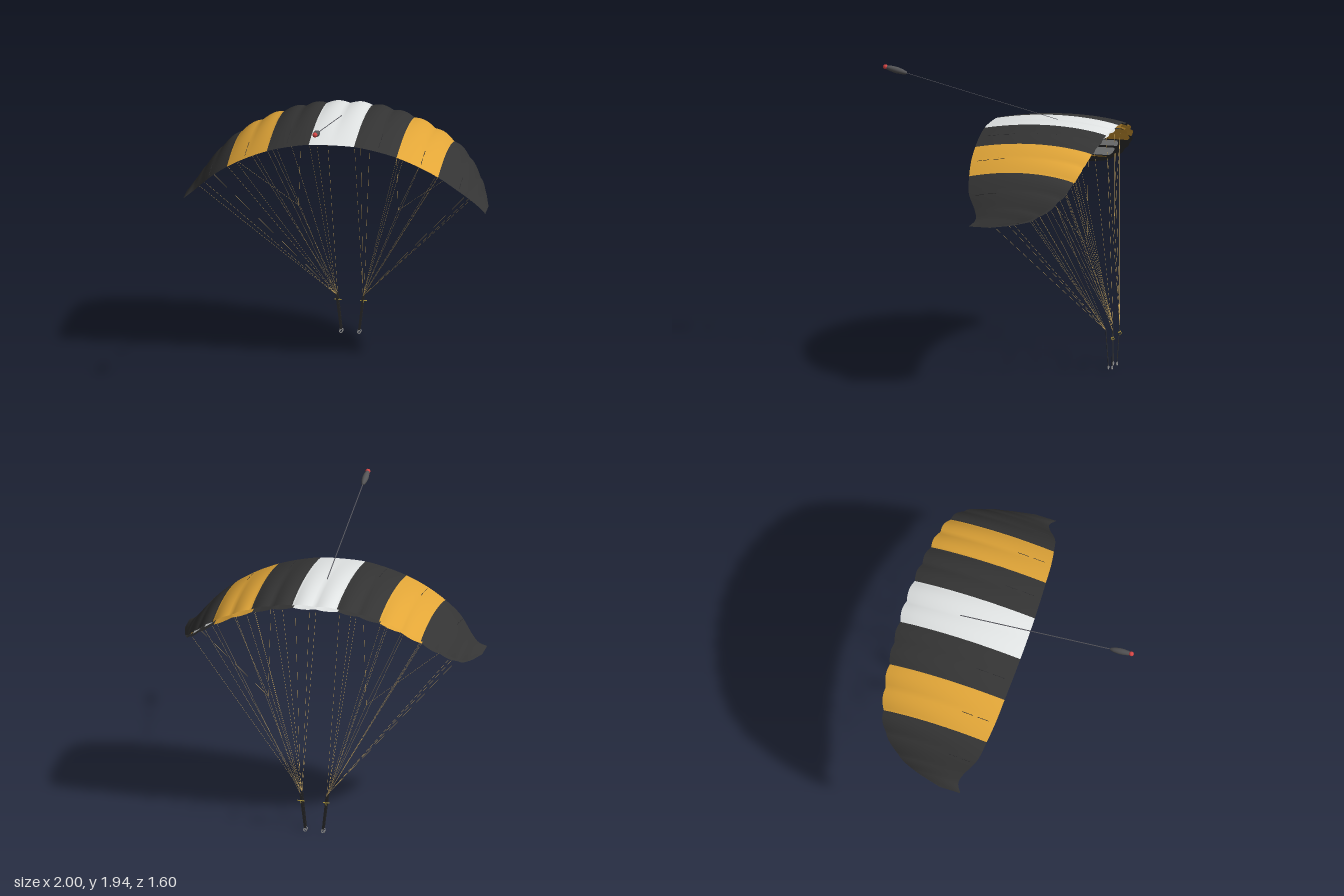
import * as THREE from 'three';

const mat = (name, color, side = THREE.FrontSide) => {
  const m = new THREE.MeshStandardMaterial({ color, side });
  m.name = name;
  return m;
};

// Half-span stations at the ribs: x, edge height, trailing z, leading z, camber
const STATIONS = [
  [0, 1.6, 0.07, -0.765, 0.043], [0.15, 1.595, 0.068, -0.76, 0.043],
  [0.29, 1.57, 0.062, -0.753, 0.043], [0.43, 1.53, 0.052, -0.74, 0.042],
  [0.57, 1.47, 0.04, -0.722, 0.042], [0.7, 1.395, 0.018, -0.693, 0.042],
  [0.81, 1.31, -0.01, -0.64, 0.038], [0.9, 1.215, -0.077, -0.525, 0.03],
  [0.95, 1.165, -0.095, -0.41, 0.018], [1, 1.13, -0.065, -0.21, 0],
];
const N = STATIONS.length - 1;
const SPAN = [...STATIONS.slice(1).reverse().map(([x, ...r]) => [-x, ...r]), ...STATIONS];
const edgeCurve = new THREE.CatmullRomCurve3(
  SPAN.map(([x, y, zT]) => new THREE.Vector3(x, y, zT)), false, 'catmullrom');
const chordCurve = new THREE.CatmullRomCurve3(
  SPAN.map(([, , , zL, h]) => new THREE.Vector3(zL, h, 0)), false, 'catmullrom');

// Point on the canopy: s = station (-N..N), t = 0 trailing edge .. 1 leading edge
function canopyPoint(s, t, upper) {
  const u = (s + N) / (2 * N);
  const e = edgeCurve.getPoint(u), c = chordCurve.getPoint(u);
  const taper = Math.min(1, (N - Math.abs(s)) / 3);
  const puff = Math.abs(Math.sin(Math.PI * s)) * taper;
  const zL = c.x - puff * 0.012 + (upper ? 0 : 0.025 * taper);
  const z = e.z + (zL - e.z) * t;
  const y = upper
    ? e.y + c.y * 4 * t * (1 - t) ** 0.9 * 0.97 + puff * 0.012 * t
    : e.y - 0.027 * taper * Math.sin(Math.min(1, t * 1.3) * Math.PI / 2) - puff * 0.004 * t;
  return new THREE.Vector3(e.x, y, z);
}

// One skin of the canopy; quads are sorted into a material group per colour
function skin(upper, colourAt, colourCount) {
  const PER = 8, ROWS = 18, cols = 2 * N * PER;
  const pos = [], buckets = Array.from({ length: colourCount }, () => []);
  for (let i = 0; i <= cols; i++)
    for (let j = 0; j <= ROWS; j++) pos.push(...canopyPoint(i / PER - N, j / ROWS, upper).toArray());
  for (let i = 0; i < cols; i++)
    for (let j = 0; j < ROWS; j++) {
      const a = i * (ROWS + 1) + j, b = a + ROWS + 1, c = b + 1, d = a + 1;
      const list = buckets[colourAt(Math.abs((i + 0.5) / PER - N), (j + 0.5) / ROWS)];
      list.push(...(upper ? [a, b, c, a, c, d] : [a, c, b, a, d, c]));
    }
  const g = new THREE.BufferGeometry();
  g.setAttribute('position', new THREE.Float32BufferAttribute(pos, 3));
  g.setIndex(buckets.flat());
  let start = 0;
  buckets.forEach((list, k) => {
    g.addGroup(start, list.length, k);
    start += list.length;
  });
  g.computeVertexNormals();
  return g;
}

// Internal rib between the two skins
function rib(s) {
  const pos = [], idx = [], n = 12;
  for (let j = 0; j <= n; j++) {
    const t = (j / n) * 0.96;
    pos.push(...canopyPoint(s, t, true).toArray(), ...canopyPoint(s, t, false).toArray());
    if (j < n) idx.push(2 * j, 2 * j + 1, 2 * j + 3, 2 * j, 2 * j + 3, 2 * j + 2);
  }
  const g = new THREE.BufferGeometry();
  g.setAttribute('position', new THREE.Float32BufferAttribute(pos, 3));
  g.setIndex(idx);
  g.computeVertexNormals();
  return g;
}

export function createModel() {
  const root = new THREE.Group();
  root.name = 'parafoil';
  const black = mat('black fabric', 0x343434, THREE.DoubleSide);
  const gold = mat('gold fabric', 0xe2a638, THREE.DoubleSide);
  const light = mat('light grey fabric', 0xe3e6e6, THREE.DoubleSide);
  const cord = mat('tan cord', 0xcdaa62);
  const strap = mat('strap', 0x2c2c2e);
  const metal = mat('metal', 0x9a9a9a);
  const toggleMat = mat('olive toggle', 0xb8a040);
  const podMat = mat('pilot grey', 0x545456);
  const red = mat('red cap', 0xd84646);
  const bridleMat = mat('bridle', 0x55555c);

  const add = (name, geo, material, parent = root) => {
    const m = new THREE.Mesh(geo, material);
    m.name = name;
    parent.add(m);
    return m;
  };
  const V = (x, y, z) => new THREE.Vector3(x, y, z);
  // Place a mesh built along y so that it spans two points
  const span = (m, a, b) => {
    m.position.lerpVectors(a, b, 0.5);
    m.quaternion.setFromUnitVectors(V(0, 1, 0), b.clone().sub(a).normalize());
  };
  const line = (name, a, b, parent) =>
    span(add(name, new THREE.CylinderGeometry(0.0008, 0.0008, a.distanceTo(b), 5), cord, parent), a, b);
  const webbing = (name, a, b, w, d, material, parent) =>
    span(add(name, new THREE.BoxGeometry(w, a.distanceTo(b), d), material, parent), a, b);

  // Canopy skins with striped cells, open along the leading edge
  const stripe = (s) => (s < 1 ? 2 : s > 3 && s < 5 ? 1 : 0);
  const tipBands = (s, t) => {
    if (t > 0.06 && t < 0.9) {
      if ((s > 5.12 && s < 5.75) || (s > 6 && s < 6.75)) return 2;
      if (s > 6.85 && s < 7) return 1;
    }
    return stripe(s);
  };
  const fabrics = [black, gold, light];
  add('canopyTop', skin(true, stripe, 3), fabrics);
  add('canopyUnderside', skin(false, tipBands, 3), fabrics);
  for (let s = 1 - N; s < N; s++) add('rib', rib(s), fabrics[stripe(Math.abs(s) + 0.5)]);

  for (const side of [-1, 1]) {
    const half = new THREE.Group();
    half.name = side > 0 ? 'leftRigging' : 'rightRigging';
    root.add(half);
    const frontTop = V(side * 0.088, 0.27, -0.785), rearTop = V(side * 0.088, 0.27, -0.74);

    // Suspension lines: one row to the front riser, two to the rear
    for (const s of [1, 3, 5, 7])
      for (const [from, t] of [[s < 7 ? frontTop : rearTop, 0.92], [rearTop, 0.36], [rearTop, 0.03]])
        line('suspensionLine', from, canopyPoint(side * s, t, false), half);

    // Branching control lines
    const fork = V(side * 0.33, 0.9, -0.68);
    line('controlLine', frontTop, fork, half);
    for (const s of [2.15, 4, 6])
      line('controlBranch', fork, canopyPoint(side * s, 0.94, false), half);
    line('middleLine', rearTop, canopyPoint(side * 4, 0.36, false), half);

    // Short seams on the upper skin
    for (const s of [2.1, 4.1, 6.2])
      for (const t of [0.06, 0.2])
        webbing('seam', canopyPoint(side * s, t, true), canopyPoint(side * s, t + 0.1, true),
          0.003, 0.003, strap, half);

    // Risers with a ring at the foot
    for (const [top, z] of [[frontTop, -0.775], [rearTop, -0.75]]) {
      webbing('riser', V(side * 0.06, 0.026, z), top, 0.014, 0.002, strap, half);
      const ring = add('riserRing', new THREE.TorusGeometry(0.011, 0.003, 6, 16), metal, half);
      ring.position.set(side * 0.06, 0.014, z);
    }

    // Steering toggle: a bar through a small ring
    const bar = add('toggleBar', new THREE.CylinderGeometry(0.004, 0.004, 0.044, 8), toggleMat, half);
    bar.rotation.z = Math.PI / 2;
    bar.position.set(side * 0.085, 0.222, -0.783);
    const loop = add('toggleRing', new THREE.TorusGeometry(0.0095, 0.002, 6, 16), toggleMat, half);
    loop.rotation.y = Math.PI / 2;
    loop.position.set(side * 0.085, 0.216, -0.787);
  }

  // Trailing pilot chute on its flat bridle
  const tail = V(0, 1.892, 0.635), nose = V(0, 1.93, 0.8);
  webbing('bridle', V(0, 1.643, -0.4), tail, 0.006, 0.0015, bridleMat);
  const pilot = new THREE.Group();
  pilot.name = 'pilotChute';
  pilot.position.copy(tail);
  pilot.quaternion.setFromUnitVectors(V(0, 1, 0), nose.clone().sub(tail).normalize());
  root.add(pilot);
  const profile = [[0, 0], [0.01, 0.008], [0.017, 0.035], [0.021, 0.07], [0.02, 0.1], [0.016, 0.13], [0.013, 0.142]];
  add('pilotBody', new THREE.LatheGeometry(profile.map((p) => new THREE.Vector2(...p)), 20), podMat, pilot);
  const cap = add('pilotCap', new THREE.SphereGeometry(0.0165, 16, 10), red, pilot);
  cap.position.y = 0.153;
  return root;
}
